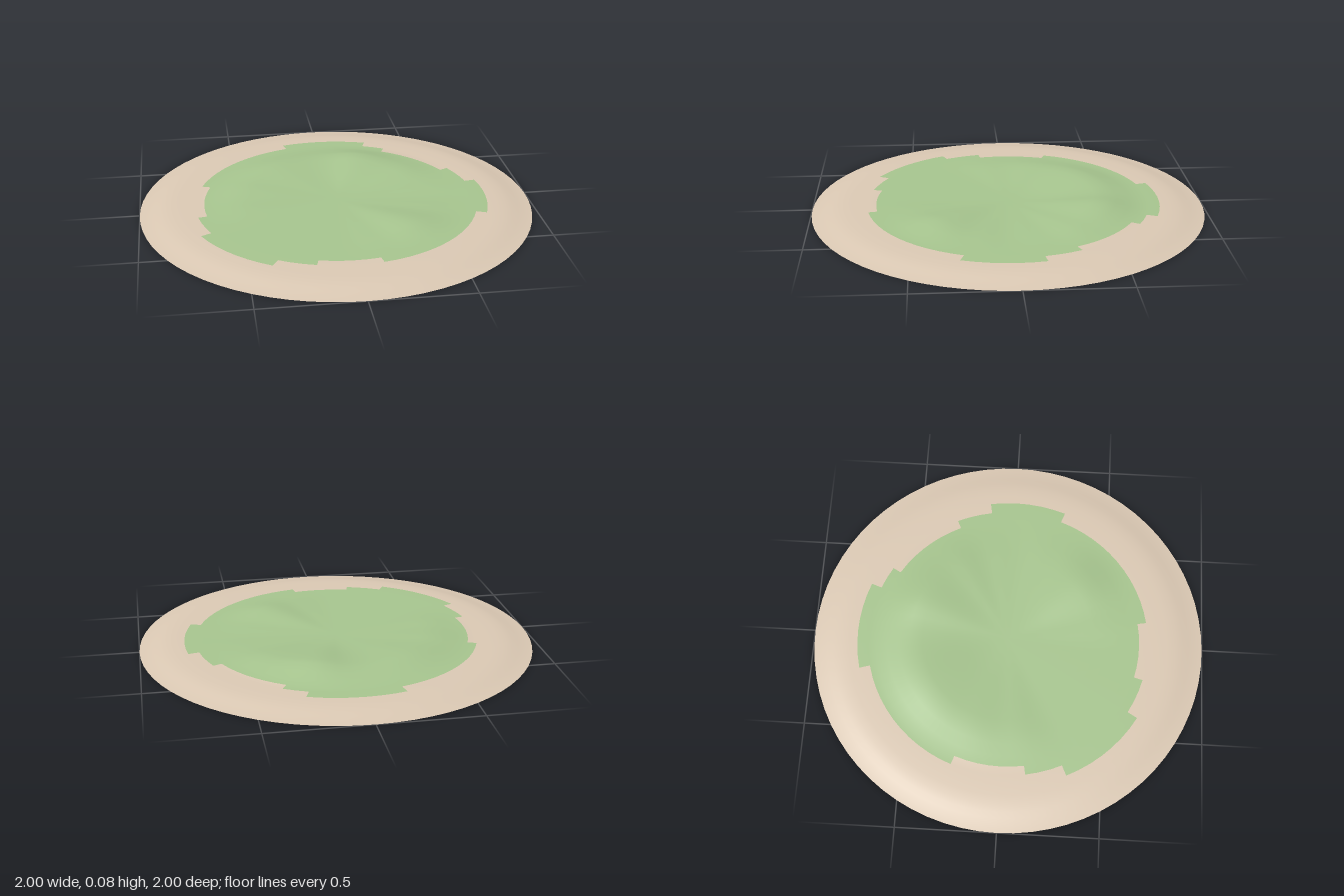
import * as THREE from 'three';

const SEGMENTS = 72; // 5 degrees each, clockwise from the back
const RINGS = [0, 0.06, 0.11, 0.17, 0.22, 0.28, 0.33, 0.39, 0.44, 0.5, 0.56, 0.62,
  0.675, 0.72, 0.775, 0.82, 0.865, 0.9, 0.93, 0.965, 1];

// Ridge height above the flat ground: [angle in degrees, height]
const RIDGE = [[0, 0.03], [21, 0.046], [53, 0.024], [75, 0.006], [95, 0], [112, 0.006],
  [139, 0.029], [165, 0.006], [182, 0], [240, 0], [265, 0.012], [294, 0.024], [326, 0.036],
  [355, 0.029], [360, 0.03]];
// Beach profile: [radius, height]
const BEACH = [[0, 0.03], [0.72, 0.03], [0.8, 0.0285], [0.865, 0.025], [0.93, 0.012], [0.965, 0.004], [1, 0]];
// Outer radius of the grass: [angle where it ends, radius]
const GRASS_EDGE = [[20, 0.775], [30, 0.72], [65, 0.675], [80, 0.72], [110, 0.775], [170, 0.72],
  [195, 0.675], [210, 0.72], [245, 0.775], [260, 0.72], [290, 0.675], [345, 0.72], [360, 0.775]];

function lookup(table, x, smooth) {
  let i = 1;
  while (i < table.length - 1 && x > table[i][0]) i++;
  const [x0, y0] = table[i - 1], [x1, y1] = table[i];
  const t = smooth ? THREE.MathUtils.smoothstep(x, x0, x1) : (x - x0) / (x1 - x0);
  return THREE.MathUtils.lerp(y0, y1, t);
}

function heightAt(r, deg) {
  // hills crest at half radius, with a gentle inner and a steeper outer slope
  const bump = r < 0.5
    ? THREE.MathUtils.smoothstep(r, 0.06, 0.52)
    : Math.max(0, (0.675 - r) / 0.175);
  return lookup(BEACH, r, false) + bump * lookup(RIDGE, deg, true);
}

export function createModel() {
  const group = new THREE.Group();
  group.name = 'island';

  // Polar grid of points
  const positions = [];
  for (const r of RINGS) {
    for (let j = 0; j < SEGMENTS; j++) {
      const deg = (j * 360) / SEGMENTS;
      const a = THREE.MathUtils.degToRad(deg);
      positions.push(r * Math.sin(a), heightAt(r, deg), -r * Math.cos(a));
    }
  }

  // Cells sorted into grass and sand
  const grass = [], sand = [];
  for (let i = 0; i < RINGS.length - 1; i++) {
    for (let j = 0; j < SEGMENTS; j++) {
      const mid = ((j + 0.5) * 360) / SEGMENTS;
      const edge = GRASS_EDGE.find(([end]) => mid < end)[1];
      const target = RINGS[i + 1] <= edge + 0.001 ? grass : sand;
      const k = (j + 1) % SEGMENTS;
      const a = i * SEGMENTS + j, b = i * SEGMENTS + k;
      const c = a + SEGMENTS, d = b + SEGMENTS;
      if (i > 0) target.push(a, b, c);
      target.push(b, d, c);
    }
  }

  // Shared normals keep the shading smooth across the grass edge
  const terrain = new THREE.BufferGeometry();
  terrain.setAttribute('position', new THREE.Float32BufferAttribute(positions, 3));
  terrain.setIndex([...grass, ...sand]);
  terrain.computeVertexNormals();
  const normal = terrain.getAttribute('normal');
  for (let j = 0; j < SEGMENTS; j++) normal.setXYZ(j, 0, 1, 0);

  const addPart = (name, index, color) => {
    const geometry = new THREE.BufferGeometry();
    geometry.setAttribute('position', terrain.getAttribute('position').clone());
    geometry.setAttribute('normal', normal.clone());
    geometry.setIndex(index);
    const mesh = new THREE.Mesh(geometry,
      new THREE.MeshStandardMaterial({ color, side: THREE.DoubleSide }));
    mesh.name = name;
    group.add(mesh);
  };
  addPart('grassHills', grass, 0xa6c48e);
  addPart('sandBeach', sand, 0xdac8b3);

  return group;
}
